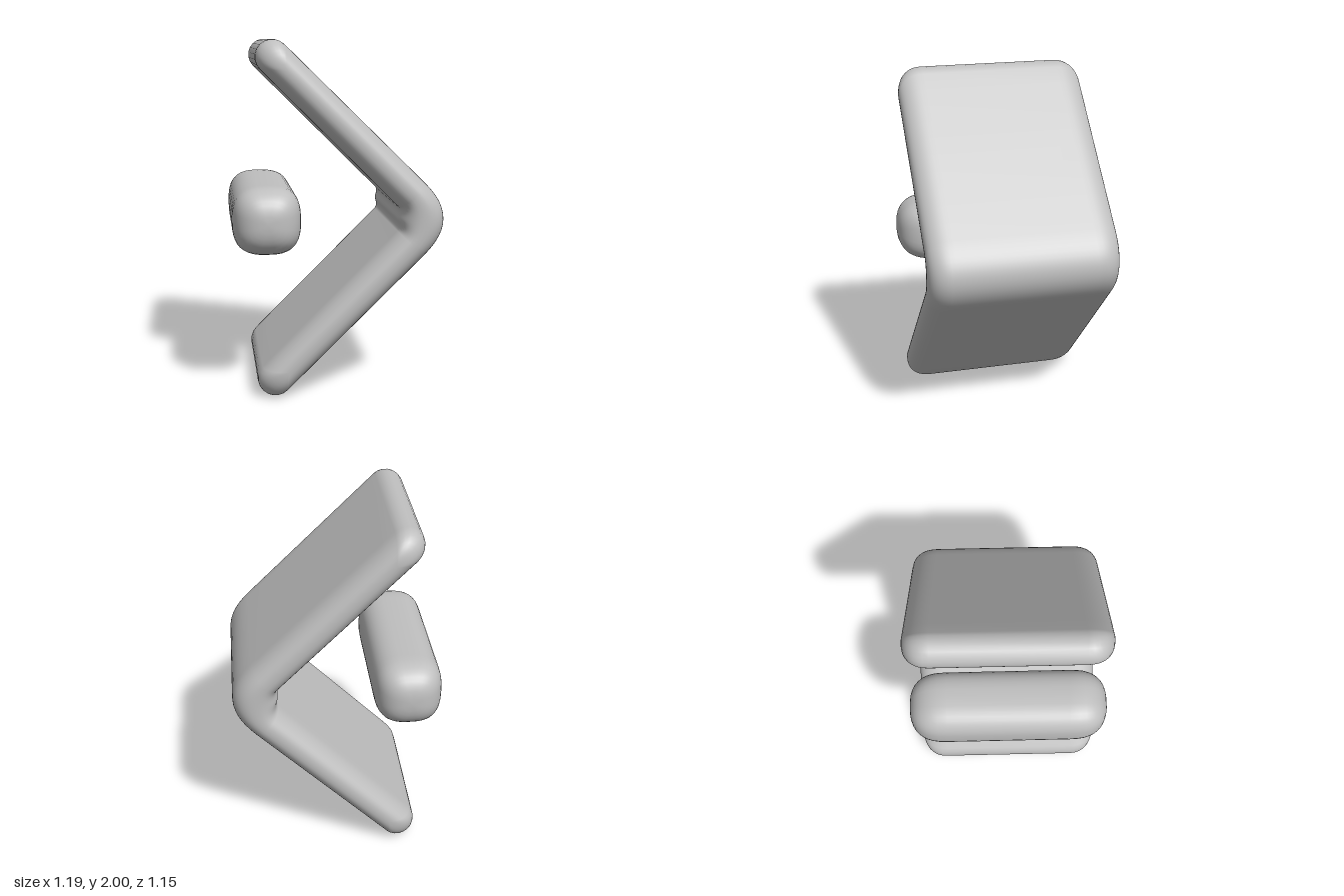
import * as THREE from 'three';
import { mergeVertices } from 'three/addons/utils/BufferGeometryUtils.js';

const grey = new THREE.MeshStandardMaterial({ color: 0xbfbfbf });
grey.name = 'grey';

// Skin a stack of closed counter-clockwise rings running from back to front.
function loft(rings) {
  const n = rings[0].length, index = [];
  for (let i = 0; i < rings.length - 1; i++) {
    for (let j = 0; j < n; j++) {
      const a = i * n + j, b = i * n + (j + 1) % n;
      index.push(a, b, b + n, a, b + n, a + n);
    }
  }
  let geo = new THREE.BufferGeometry();
  geo.setAttribute('position', new THREE.Float32BufferAttribute(rings.flat(2), 3));
  geo.setIndex(index);
  geo = mergeVertices(geo, 1e-4);
  geo.computeVertexNormals();
  return geo;
}

// Section levels: z, and fullness f falling to 0 at both rounded ends.
function levels(halfLength, depth, power, steps) {
  const front = [];
  for (let i = 0; i <= steps; i++) {
    const t = (i / steps) * Math.PI / 2;
    const f = i === steps ? 0 : Math.pow(Math.cos(t), 2 / power);
    front.push({ z: halfLength - depth + depth * Math.pow(Math.sin(t), 2 / power), f });
  }
  return [...front.map(({ z, f }) => ({ z: -z, f })).reverse(), ...front];
}

// Outline of the bent plate: outer side upward, top tip, inner side down, bottom tip.
function chevronRing({ z, f }) {
  const bendX = 0.262, bendR = 0.2, q = Math.SQRT1_2;
  const pull = 0.1 * (1 - f) * q;
  const tip = { x: -0.368 + pull, y: 0.904 - pull };
  const upper = [];
  for (let i = 0; i <= 8; i++) {
    const a = (i / 8) * Math.PI / 4;
    upper.push({
      x: bendX + bendR * Math.cos(a), y: bendR * Math.sin(a),
      nx: Math.cos(a), ny: Math.sin(a), h: 0.1 + 0.028 * Math.cos(2 * a) ** 2,
    });
  }
  const start = upper[8];
  for (let i = 1; i <= 10; i++) {
    const s = i / 10;
    upper.push({
      x: start.x + (tip.x - start.x) * s, y: start.y + (tip.y - start.y) * s,
      nx: q, ny: q, h: 0.1 - 0.004 * s,
    });
  }
  const lower = upper.slice(1).reverse().map((p) => ({ ...p, y: -p.y, ny: -p.ny }));
  const spine = [...lower, ...upper];
  const side = (p, s) => [p.x + s * p.nx * p.h * f, 1 + p.y + s * p.ny * p.h * f, z];
  const cap = (sign) => {
    const pts = [];
    for (let i = 1; i < 10; i++) {
      const a = (i / 10) * Math.PI, r = 0.096 * f;
      const c = Math.cos(a), s = Math.sin(a);
      pts.push([tip.x + r * q * (c - s), 1 + sign * (tip.y + r * q * (c + s)), z]);
    }
    return sign > 0 ? pts : pts.reverse();
  };
  return [
    ...spine.map((p) => side(p, 1)), ...cap(1),
    ...spine.map((p) => side(p, -1)).reverse(), ...cap(-1),
  ];
}

// Soft square section of the bar.
function barRing({ z, f }) {
  const ring = [], r = 0.193 * f, e = 2 / 2.8;
  for (let i = 0; i < 40; i++) {
    const a = (i / 40) * Math.PI * 2, c = Math.cos(a), s = Math.sin(a);
    ring.push([
      -0.405 + r * Math.sign(c) * Math.abs(c) ** e,
      1 + r * Math.sign(s) * Math.abs(s) ** e, z,
    ]);
  }
  return ring;
}

export function createModel() {
  const group = new THREE.Group();
  group.name = 'bentPlateAndBar';

  // V-shaped plate with rounded rims
  const plate = new THREE.Mesh(loft(levels(0.553, 0.15, 2.3, 10).map(chevronRing)), grey);
  plate.name = 'bentPlate';

  // Free-standing rounded bar behind the opening of the V
  const bar = new THREE.Mesh(loft(levels(0.573, 0.22, 2.6, 10).map(barRing)), grey);
  bar.name = 'bar';

  group.add(plate, bar);
  return group;
}
